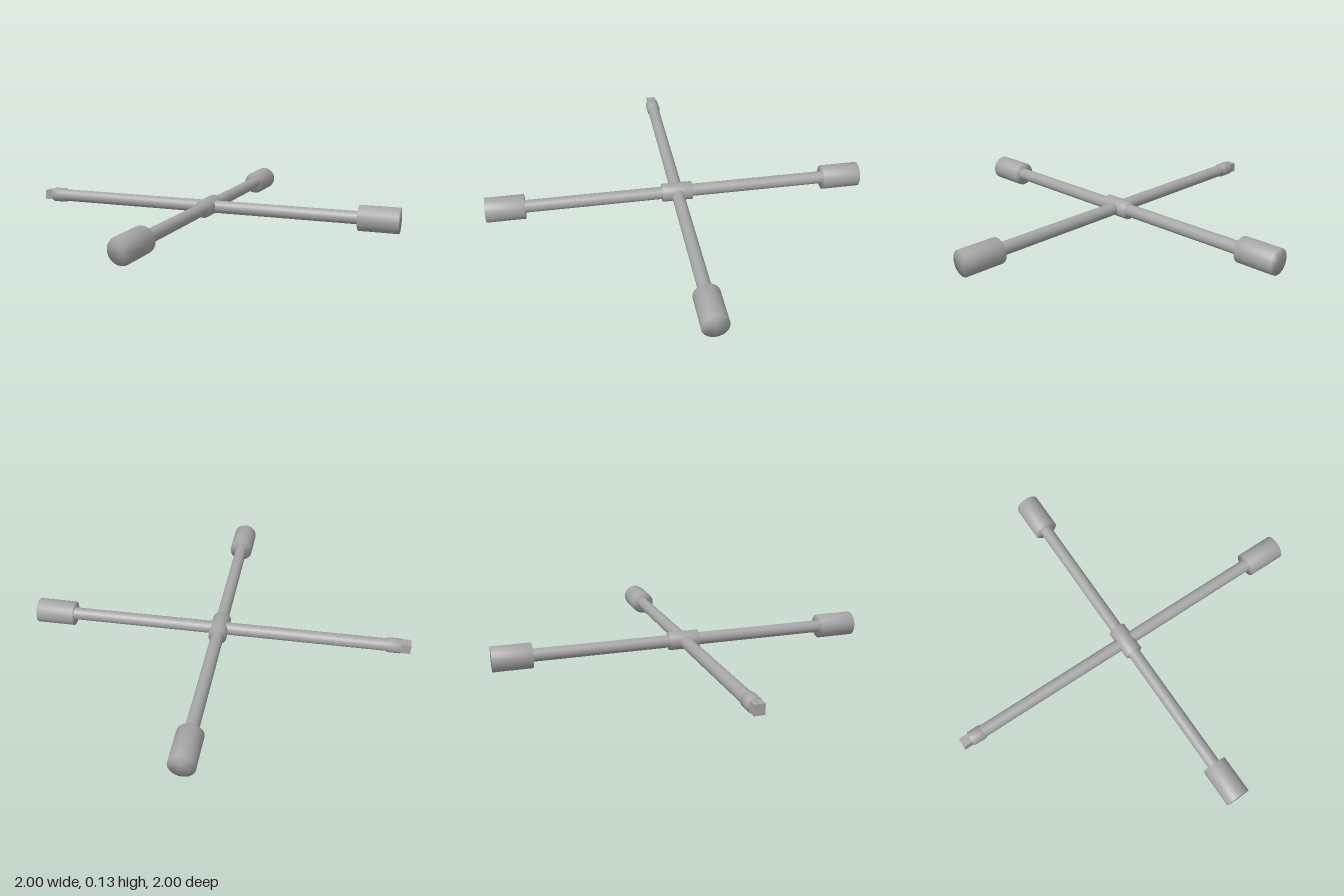
import * as THREE from 'three';
import { mergeVertices } from 'three/addons/utils/BufferGeometryUtils.js';

const AXIS_Y = 0.066;

export function createModel() {
  const wrench = new THREE.Group();
  wrench.name = 'crossWrench';
  const steel = new THREE.MeshStandardMaterial({ color: 0xa6a6a6 });
  steel.name = 'steel grey';

  // Cylinder along +x between two stations, with normals blended over its rims
  function bar(name, radius, from, to, parent) {
    let geometry = new THREE.CylinderGeometry(radius, radius, to - from, 24);
    geometry.deleteAttribute('normal');
    geometry.deleteAttribute('uv');
    geometry = mergeVertices(geometry);
    geometry.computeVertexNormals();
    geometry.rotateZ(-Math.PI / 2);
    geometry.translate((from + to) / 2, 0, 0);
    const mesh = new THREE.Mesh(geometry, steel);
    mesh.name = name;
    parent.add(mesh);
  }

  function arm(name, angle) {
    const group = new THREE.Group();
    group.name = name;
    group.position.y = AXIS_Y;
    group.rotation.y = angle;
    wrench.add(group);
    return group;
  }

  // Three socket arms: left, back and front
  const sockets = [['leftArm', 0], ['backArm', Math.PI / 2], ['frontArm', -Math.PI / 2]];
  for (const [name, angle] of sockets) {
    const group = arm(name, angle);
    bar('rod', 0.033, 0, 0.81, group);
    bar('socket', 0.065, 0.8, 1, group);
  }

  // Right arm ends in a collar and a square drive
  const drive = arm('driveArm', Math.PI);
  bar('rod', 0.033, 0, 0.89, drive);
  bar('collar', 0.039, 0.88, 0.95, drive);
  const tip = new THREE.Mesh(new THREE.BoxGeometry(0.07, 0.052, 0.052), steel);
  tip.name = 'squareDrive';
  tip.position.x = 0.965;
  drive.add(tip);

  // Central hub sleeve along z
  bar('hub', 0.048, -0.08, 0.08, arm('hubSleeve', Math.PI / 2));

  return wrench;
}
